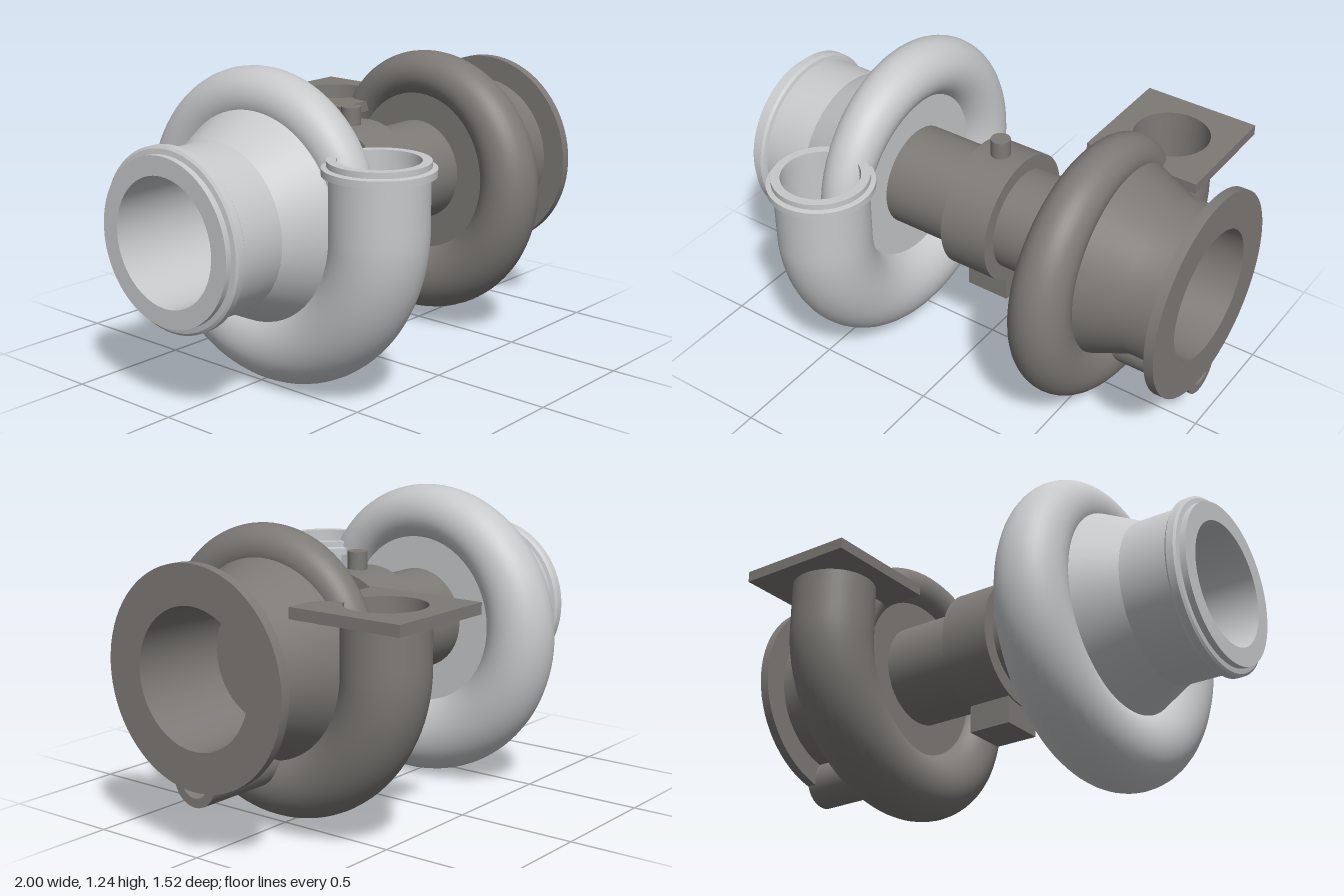
import * as THREE from 'three';
import { toCreasedNormals } from 'three/addons/utils/BufferGeometryUtils.js';

const AXIS_Y = 0.68;

export function createModel() {
  const model = new THREE.Group();
  const alloy = new THREE.MeshStandardMaterial({ color: 0xc6c8ca });
  alloy.name = 'light alloy';
  const iron = new THREE.MeshStandardMaterial({ color: 0x7d7a76 });
  iron.name = 'dark cast iron';

  function add(name, geometry, material, x = 0, y = 0, z = 0) {
    const mesh = new THREE.Mesh(geometry, material);
    mesh.name = name;
    mesh.position.set(x, y, z);
    model.add(mesh);
    return mesh;
  }

  // Turned part: profile of [radius, height] pairs around y
  function turned(profile, segments = 72) {
    const points = profile.map(([r, h]) => new THREE.Vector2(r, h));
    return toCreasedNormals(new THREE.LatheGeometry(points, segments), 0.45);
  }
  // Turned part lying along x
  const turnedX = (profile, segments) => turned(profile, segments).rotateZ(-Math.PI / 2);

  // Growing scroll tube: one turn over the top, then straight up to the outlet.
  // side is +1 for an outlet at the front, -1 at the back; inner makes a bore wall.
  function scroll({ side, R0, R1, r0, r1, rise }, from = 0, scale = 1, inner = false) {
    const rings = 96, sides = 36, straight = 4;
    const positions = [], indices = [];
    for (let i = 0; i <= rings + straight; i++) {
      const t = from + (1 - from) * Math.min(i / rings, 1);
      const lift = (Math.max(i - rings, 0) / straight) * rise;
      const angle = t * Math.PI * 2;
      const R = R0 + (R1 - R0) * t;
      const r = (r0 + (r1 - r0) * t) * scale;
      for (let j = 0; j < sides; j++) {
        const a = (j / sides) * Math.PI * 2 * (inner ? -1 : 1);
        const d = R + r * Math.sin(a);
        positions.push(side * r * Math.cos(a), d * Math.sin(angle) + lift, side * d * Math.cos(angle));
      }
    }
    for (let i = 0; i < rings + straight; i++) {
      for (let j = 0; j < sides; j++) {
        const a = i * sides + j, b = a + sides;
        const c = i * sides + (j + 1) % sides, d = c + sides;
        indices.push(a, b, c, b, d, c);
      }
    }
    const g = new THREE.BufferGeometry();
    g.setAttribute('position', new THREE.Float32BufferAttribute(positions, 3));
    g.setIndex(indices);
    g.computeVertexNormals();
    return g;
  }

  // Compressor side: inlet housing with bore, cone and back plate
  add('compressorHousing', turnedX([
    [0, -0.55], [0.25, -0.55], [0.25, -1], [0.325, -1], [0.325, -0.975],
    [0.345, -0.972], [0.355, -0.965], [0.355, -0.935], [0.345, -0.925], [0.33, -0.92],
    [0.33, -0.72], [0.42, -0.535], [0.42, -0.5], [0.4, -0.38], [0, -0.38],
  ]), alloy, 0, AXIS_Y, 0);
  const compressor = { side: 1, R0: 0.42, R1: 0.545, r0: 0.09, r1: 0.188, rise: 0.25 };
  add('compressorScroll', scroll(compressor), alloy, -0.43, AXIS_Y, 0);
  add('compressorOutletBore', scroll(compressor, 0.5, 0.157 / 0.188, true), alloy, -0.43, AXIS_Y, 0);
  add('compressorOutletLip', turned([
    [0.157, 0.92], [0.213, 0.92], [0.213, 0.948], [0.193, 0.952],
    [0.193, 0.975], [0.157, 0.975], [0.157, 0.92],
  ]), alloy, -0.43, 0, 0.543);

  // Turbine side: exhaust housing with round end flange and tapered bore
  add('turbineHousing', turnedX([
    [0, 0.48], [0.37, 0.48], [0.4, 0.56], [0.4, 0.6], [0.325, 0.79], [0.325, 0.96],
    [0.425, 0.96], [0.425, 1], [0.27, 1], [0.255, 0.6], [0, 0.6],
  ]), iron, 0, AXIS_Y, 0);
  const turbine = { side: -1, R0: 0.38, R1: 0.515, r0: 0.07, r1: 0.17, rise: 0.23 };
  add('turbineScroll', scroll(turbine), iron, 0.525, AXIS_Y, 0);
  add('turbineInletBore', scroll(turbine, 0.5, 0.157 / 0.17, true), iron, 0.525, AXIS_Y, 0);

  // Square inlet flange with a round hole
  const plate = new THREE.Shape();
  const h = 0.248;
  plate.moveTo(-h, -h).lineTo(h, -h).lineTo(h, h).lineTo(-h, h).closePath();
  const hole = new THREE.Path();
  hole.absarc(0, 0, 0.157, 0, Math.PI * 2, true);
  plate.holes.push(hole);
  const flange = new THREE.ExtrudeGeometry(plate, { depth: 0.045, bevelEnabled: false, curveSegments: 48 });
  add('turbineInletFlange', flange.rotateX(-Math.PI / 2), iron, 0.525, 0.9, -0.512);

  // Bypass pipe under the exhaust outlet
  add('bypassPipe', turnedX([
    [0, 0.56], [0.1, 0.56], [0.1, 1], [0.065, 1], [0.065, 0.8], [0, 0.8],
  ], 40), iron, 0, 0.296, 0.003);

  // Bearing housing between the two sides
  add('bearingHousing', turnedX([
    [0, -0.42], [0.212, -0.42], [0.212, -0.06], [0.272, -0.06],
    [0.272, 0.15], [0.212, 0.15], [0.212, 0.52], [0, 0.52],
  ]), iron, 0, AXIS_Y, 0);
  add('oilInlet', new THREE.CylinderGeometry(0.04, 0.04, 0.14, 28), iron, 0.04, 0.953, 0);
  add('oilDrain', new THREE.BoxGeometry(0.188, 0.17, 0.188), iron, 0.041, 0.395, 0);

  return model;
}
